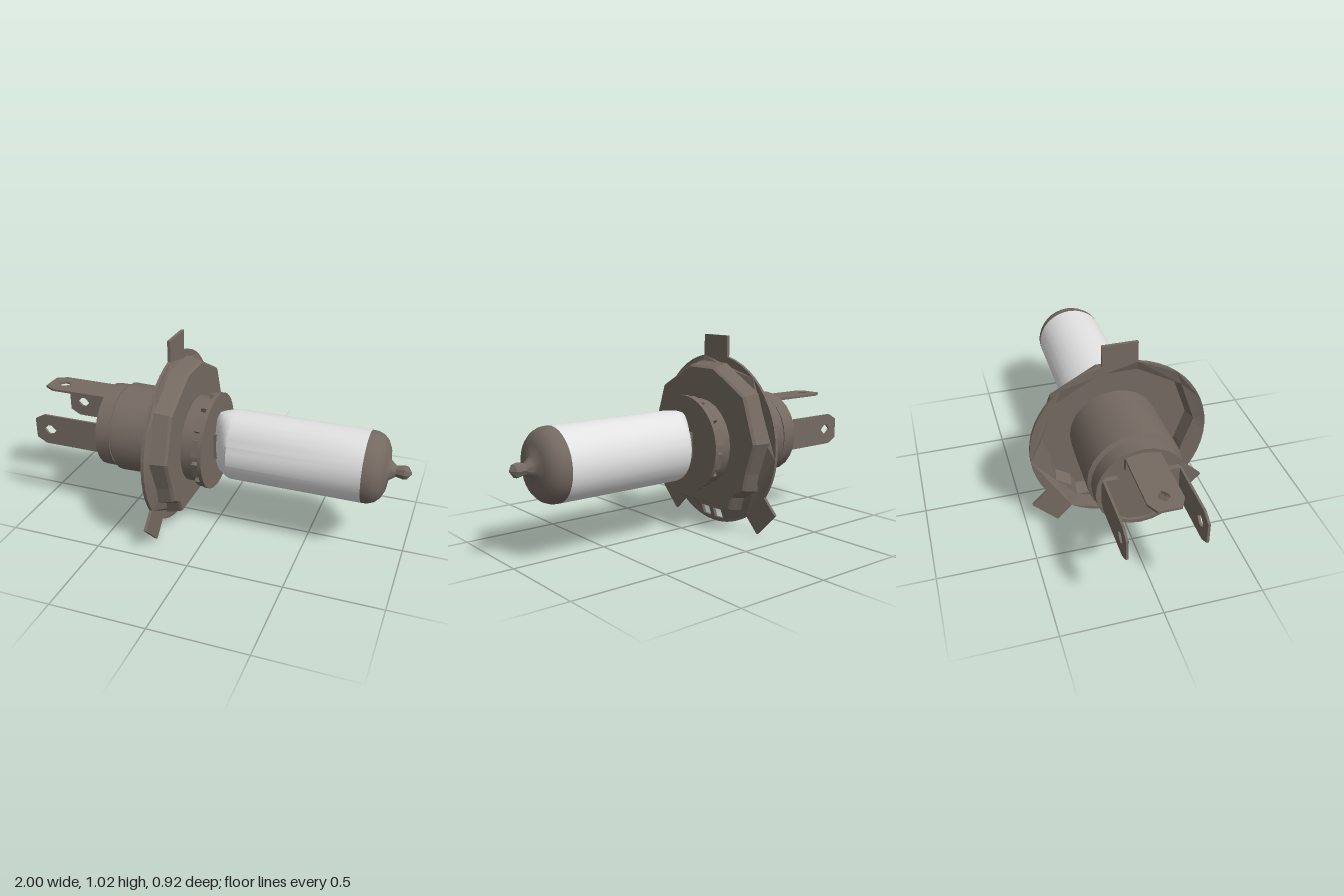
import * as THREE from 'three';
import { toCreasedNormals } from 'three/addons/utils/BufferGeometryUtils.js';

const AXIS = 0.463; // height of the bulb axis, which runs along x

export function createModel() {
  const model = new THREE.Group();
  model.name = 'headlightBulb';
  const metal = new THREE.MeshStandardMaterial({ color: 0x756a62 });
  metal.name = 'brown metal';
  const glass = new THREE.MeshStandardMaterial({ color: 0xe2e2e2 });
  glass.name = 'pale glass';

  const bulb = new THREE.Group();
  bulb.name = 'bulb';
  bulb.position.y = AXIS;
  model.add(bulb);

  const add = (name, geo, mat = metal) => {
    const mesh = new THREE.Mesh(geo, mat);
    mesh.name = name;
    bulb.add(mesh);
    return mesh;
  };
  // Profile of [x, radius] turned around the x axis
  const turned = (profile, sides = 32) => new THREE.LatheGeometry(
    profile.map(([x, r]) => new THREE.Vector2(r, x)), sides).rotateZ(-Math.PI / 2);
  const crease = (geo, angle = 0.6) => toCreasedNormals(geo, angle);
  // Shape in the (-z, y) plane extruded along +x
  const plate = (shape, x, depth) => new THREE.ExtrudeGeometry(shape,
    { depth, bevelEnabled: false, curveSegments: 40 }).rotateY(Math.PI / 2).translate(x, 0, 0);
  const moveVertices = (geo, rule) => {
    const p = geo.attributes.position;
    const v = new THREE.Vector3();
    for (let i = 0; i < p.count; i++) {
      rule(v.fromBufferAttribute(p, i));
      p.setXYZ(i, v.x, v.y, v.z);
    }
    geo.computeVertexNormals();
    return geo;
  };
  const pathOf = (points) => new THREE.Path(points.map(([u, v]) => new THREE.Vector2(u, v)));
  const shapeOf = (points) => new THREE.Shape(points.map(([u, v]) => new THREE.Vector2(u, v)));

  // Base body with groove, open flange side hidden in the cup
  add('baseBody', crease(turned([
    [-0.61, 0], [-0.61, 0.205], [-0.625, 0.205], [-0.625, 0.225], [-0.545, 0.226],
    [-0.545, 0.218], [-0.535, 0.218], [-0.525, 0.24], [-0.25, 0.235],
    [-0.06, 0.228], [-0.03, 0.228]], 24)));

  // Collar with a ring of small teeth
  add('collar', crease(turned([
    [-0.036, 0.2], [-0.036, 0.257], [-0.016, 0.257], [-0.016, 0]], 40)));
  for (let i = 0; i < 12; i++) {
    const tooth = new THREE.BoxGeometry(0.036, 0.025, 0.085).translate(-0.052, 0.236, 0);
    add('collarTooth', tooth.rotateX((i + 0.5) * Math.PI / 6));
  }

  // Cup outline: faceted, with a flat bottom
  const half = [[0.23, -0.352], [0.26, -0.28], [0.345, -0.225], [0.368, -0.13],
    [0.425, 0.04], [0.34, 0.285], [0.1, 0.42]];
  const outline = (s) => [...half, ...half.map(([u, v]) => [-u, v]).reverse()]
    .map(([u, v]) => [u * s, v * s]);

  // Cup wall, tapering to the front, then its front plate
  const wall = shapeOf(outline(1));
  wall.holes.push(pathOf(outline(0.95)));
  add('cupWall', moveVertices(plate(wall, -0.225, 0.075), (v) => {
    if (v.x > -0.2) { v.y *= 0.96; v.z *= 0.96; }
  }));
  const face = shapeOf(outline(0.96));
  face.holes.push(new THREE.Path().absarc(0, 0, 0.222, 0, Math.PI * 2));
  add('cupFace', moveVertices(plate(face, -0.15, 0.014), (v) => {
    if (v.x > -0.14 && Math.hypot(v.y, v.z) > 0.25) { v.y *= 0.975; v.z *= 0.975; }
  }));

  // Flange: disc with three tabs and two windows, dished towards the cup
  const R = 0.46, W = 0.09, TAB = 0.5625;
  const rim = [];
  const tabs = [90, 225, 315].map((d) => d * Math.PI / 180);
  const tabHalf = Math.asin(W / R);
  tabs.forEach((d, i) => {
    const corner = (r, s) => rim.push(
      [r * Math.cos(d) - s * Math.sin(d), r * Math.sin(d) + s * Math.cos(d)]);
    corner(R * Math.cos(tabHalf), -W);
    corner(TAB, -W);
    corner(TAB, W);
    corner(R * Math.cos(tabHalf), W);
    const start = d + tabHalf;
    const end = (i < 2 ? tabs[i + 1] : tabs[0] + Math.PI * 2) - tabHalf;
    for (let k = 1; k < 16; k++) {
      const a = start + (end - start) * k / 16;
      rim.push([R * Math.cos(a), R * Math.sin(a)]);
    }
  });
  const flange = shapeOf(rim);
  flange.holes.push(pathOf(outline(0.95)));
  for (const s of [-1, 1]) {
    flange.holes.push(pathOf([[0.015, -0.433], [0.08, -0.433], [0.08, -0.38], [0.015, -0.38]]
      .map(([u, v]) => [u * s, v])));
  }
  add('flange', moveVertices(plate(flange, -0.252, 0.016), (v) => {
    v.x += 0.026 * THREE.MathUtils.clamp((R - Math.hypot(v.y, v.z)) / 0.07, 0, 1);
  }));

  // Glass tube, pinched flat in depth at its seal
  const tube = moveVertices(turned([
    [-0.014, 0], [-0.012, 0.15], [0.0, 0.17], [0.03, 0.18], [0.06, 0.185], [0.09, 0.186],
    [0.78, 0.186]], 32), (v) => {
    v.z *= THREE.MathUtils.lerp(0.35, 1, THREE.MathUtils.clamp((v.x + 0.01) / 0.09, 0, 1));
  });
  add('glassTube', crease(tube, 0.7), glass);
  add('sealMount', new THREE.BoxGeometry(0.03, 0.14, 0.14).translate(-0.005, 0, 0));

  // Coated dome and its tip
  add('domeCap', crease(turned([
    [0.78, 0.186], [0.81, 0.184], [0.84, 0.172], [0.865, 0.148], [0.882, 0.112],
    [0.89, 0.055], [0.905, 0.042], [0.925, 0.028]]), 0.9));
  add('domeTip', crease(turned([
    [0.92, 0.028], [0.965, 0.037], [0.98, 0.033], [1.0, 0.005], [1.0, 0]], 8), 0.4));

  // Three blade terminals with chamfered ends and a diamond hole
  const blade = shapeOf([[-0.6, -0.085], [-0.6, 0.085], [-0.945, 0.085], [-1, 0.055],
    [-1, -0.055], [-0.945, -0.085]]);
  blade.holes.push(pathOf([[-0.95, 0], [-0.925, 0.026], [-0.905, 0.026], [-0.878, 0],
    [-0.905, -0.026], [-0.925, -0.026]]));
  const bladeGeo = new THREE.ExtrudeGeometry(blade, { depth: 0.012, bevelEnabled: false })
    .translate(0, 0, 0.181);
  [['frontTerminal', 0], ['topTerminal', -Math.PI / 2], ['backTerminal', Math.PI]]
    .forEach(([name, turn]) => {
      add(name, bladeGeo.clone().rotateX(turn));
      const foot = new THREE.BoxGeometry(0.03, 0.17, 0.07).translate(-0.622, 0, 0.155);
      add(name + 'Foot', foot.rotateX(turn));
    });

  return model;
}
